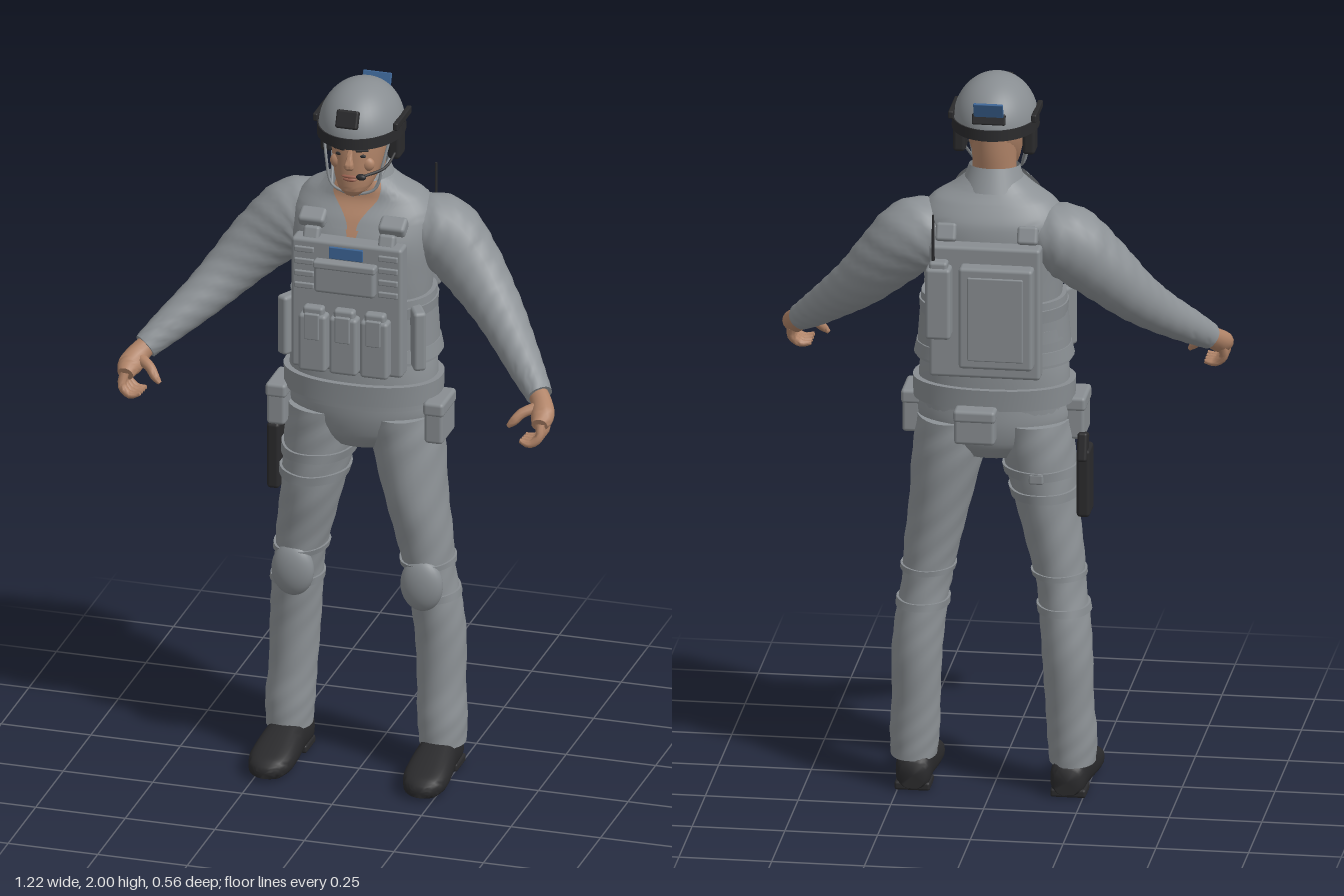
import * as THREE from 'three';
import { toCreasedNormals } from 'three/addons/utils/BufferGeometryUtils.js';
import { RoundedBoxGeometry } from 'three/addons/geometries/RoundedBoxGeometry.js';

const V = (x, y, z) => new THREE.Vector3(x, y, z);
const material = (name, color) => {
  const m = new THREE.MeshStandardMaterial({ color, side: THREE.DoubleSide });
  m.name = name;
  return m;
};
const UP = V(0, 1, 0), DOWN = V(0, -1, 0), FORWARD = V(0, 0, 1);
const HALF = Math.PI / 2;

// Grid of vertices from a rule; closed grids wrap around in the second direction
function grid(rows, cols, closed, rule) {
  const pos = [], index = [], n = closed ? cols : cols + 1;
  for (let i = 0; i <= rows; i++)
    for (let j = 0; j < n; j++) pos.push(...rule(i, j / cols).toArray());
  for (let i = 0; i < rows; i++)
    for (let j = 0; j < cols; j++) {
      const k = (j + 1) % n, a = i * n + j, b = i * n + k, c = a + n, d = b + n;
      index.push(a, c, b, b, c, d);
    }
  const g = new THREE.BufferGeometry();
  g.setAttribute('position', new THREE.Float32BufferAttribute(pos, 3));
  g.setIndex(index);
  return toCreasedNormals(g, 1);
}

// Smooth skin through sections [x, y, z, radiusA, radiusB]; angle 90 degrees is the front
function skin(sections, { axis = null, power = 1, fold = 0 } = {}) {
  const path = new THREE.CatmullRomCurve3(sections.map(s => V(s[0], s[1], s[2])));
  const radii = new THREE.CatmullRomCurve3(sections.map((s, i) => V(s[3], s[4], i * 0.1)));
  const bend = c => Math.sign(c) * Math.abs(c) ** power;
  const at = (t, a, grow = 0, scale = 1) => {
    const c = path.getPoint(t), r = radii.getPoint(t);
    const T = axis || path.getTangent(t);
    const A = T.clone().cross(Math.abs(T.z) > 0.95 ? UP : FORWARD).normalize();
    const B = A.clone().cross(T).normalize();
    const f = scale * (1 + fold * Math.sin(3 * a + t * 45) * Math.sin(t * 31 + 2 * a));
    return c.addScaledVector(A, (r.x + grow) * f * bend(Math.cos(a)))
      .addScaledVector(B, (r.y + grow) * f * bend(Math.sin(a)));
  };
  const rising = sections[0][1] < sections[sections.length - 1][1];
  const tAt = y => {
    let lo = 0, hi = 1;
    for (let i = 0; i < 24; i++) {
      const m = (lo + hi) / 2;
      if ((path.getPoint(m).y < y) === rising) lo = m; else hi = m;
    }
    return lo;
  };
  return {
    solid(cols = 28, step = 6) {
      const n = (sections.length - 1) * step;
      return grid(n + 2, cols, true, (i, f) =>
        at(Math.min(Math.max(i - 1, 0), n) / n, f * Math.PI * 2, 0, i === 0 || i === n + 2 ? 0 : 1));
    },
    band(y0, y1, grow) {
      const rows = [[y0, -0.004], [y0, grow], [y1, grow], [y1, -0.004]];
      return grid(3, 40, true, (i, f) => at(tAt(rows[i][0]), f * Math.PI * 2, rows[i][1]));
    },
    patch(y0, y1, from, to, grow) {
      return grid(14, 10, false, (i, f) => {
        const u = i / 14;
        return at(tAt(y0 + (y1 - y0) * u), THREE.MathUtils.lerp(from(u), to(u), f), grow);
      });
    },
  };
}

export function createModel() {
  const cloth = material('grey cloth', 0x8d9296), gear = material('grey gear', 0x888d91);
  const flesh = material('skin', 0xb18468), lip = material('lips', 0x98604f);
  const black = material('black', 0x2a2a2c), blue = material('blue', 0x3c6596);
  const model = new THREE.Group();
  model.name = 'soldier';
  const add = (name, geo, mat) => {
    const m = new THREE.Mesh(geo, mat);
    m.name = name;
    model.add(m);
    return m;
  };
  const box = (name, mat, [w, h, d], [x, y, z], rx = 0, ry = 0) => {
    const m = add(name, new RoundedBoxGeometry(w, h, d, 2, Math.min(0.01, Math.min(w, h, d) * 0.3)), mat);
    m.position.set(x, y, z);
    m.rotation.set(rx, ry, 0);
    return m;
  };
  const ball = (name, mat, [w, h, d], [x, y, z]) => {
    const m = add(name, new THREE.SphereGeometry(1, 24, 16), mat);
    m.scale.set(w, h, d);
    m.position.set(x, y, z);
    return m;
  };
  const tube = (name, mat, r, points) =>
    add(name, new THREE.TubeGeometry(new THREE.CatmullRomCurve3(points.map(p => V(...p))), 20, r, 6), mat);

  // Shirt, open neck, lapels and collar
  const torso = skin([[0, 1.08, -0.042, 0.2, 0.122], [0, 1.14, -0.042, 0.203, 0.125], [0, 1.21, -0.045, 0.198, 0.125],
    [0, 1.32, -0.05, 0.178, 0.12], [0, 1.45, -0.05, 0.188, 0.133], [0, 1.55, -0.055, 0.2, 0.135],
    [0, 1.62, -0.065, 0.198, 0.118], [0, 1.67, -0.065, 0.162, 0.09], [0, 1.7, -0.055, 0.11, 0.078],
    [0, 1.73, -0.048, 0.07, 0.068]], { axis: UP, power: 0.88 });
  add('shirt', torso.solid(40), cloth);
  const open = u => 0.04 + 0.75 * u * u;
  add('openNeck', torso.patch(1.57, 1.725, u => HALF - open(u), u => HALF + open(u), 0.004), flesh);
  for (const s of [-1, 1])
    add('lapel', torso.patch(1.6, 1.725, u => HALF + s * open(u), u => HALF + s * (open(u) + 0.16 + 0.4 * u), 0.012), cloth);
  const collar = add('collar', new THREE.CylinderGeometry(0.068, 0.09, 0.065, 28, 1, true, 0.7, Math.PI * 2 - 1.4), cloth);
  collar.position.set(0, 1.722, -0.048);
  collar.rotation.x = 0.1;

  // Neck and head
  add('neck', skin([[0, 1.6, -0.04, 0.062, 0.062], [0, 1.72, -0.042, 0.058, 0.062], [0, 1.8, -0.045, 0.06, 0.07],
    [0, 1.87, -0.045, 0.065, 0.075]], { axis: UP }).solid(), flesh);
  add('head', skin([[0, 1.703, 0.06, 0.02, 0.02], [0, 1.72, 0.045, 0.042, 0.044], [0, 1.75, 0.025, 0.057, 0.066],
    [0, 1.79, 0.002, 0.068, 0.088], [0, 1.84, -0.014, 0.076, 0.101], [0, 1.9, -0.02, 0.078, 0.1]],
    { axis: UP, power: 0.93 }).solid(32), flesh);
  add('nose', skin([[0, 1.838, 0.084, 0.007, 0.006], [0, 1.815, 0.092, 0.009, 0.01], [0, 1.795, 0.097, 0.014, 0.014],
    [0, 1.784, 0.092, 0.01, 0.009]], { axis: DOWN }).solid(12, 4), flesh);
  ball('upperLip', lip, [0.023, 0.005, 0.007], [0, 1.763, 0.088]);
  ball('lowerLip', lip, [0.019, 0.006, 0.008], [0, 1.754, 0.087]);
  for (const s of [-1, 1]) {
    ball('eye', black, [0.012, 0.005, 0.005], [s * 0.031, 1.822, 0.078]);
    box('eyebrow', black, [0.034, 0.006, 0.006], [s * 0.032, 1.838, 0.08], 0, s * 0.35);
    ball('cheek', flesh, [0.02, 0.02, 0.014], [s * 0.042, 1.795, 0.064]);
  }

  // Helmet with rim, rails, front mount and rear marker
  const shell = add('helmet', new THREE.SphereGeometry(1, 40, 20, 0, Math.PI * 2, 0, Math.PI * 0.53), gear);
  shell.scale.set(0.113, 0.125, 0.142);
  shell.position.set(0, 1.875, -0.02);
  const rim = add('helmetRim', new THREE.CylinderGeometry(0.116, 0.117, 0.03, 40), black);
  rim.scale.z = 1.25;
  rim.position.set(0, 1.872, -0.02);
  box('frontMount', black, [0.062, 0.05, 0.02], [0, 1.937, 0.108], -0.4);
  box('rearMount', black, [0.09, 0.03, 0.014], [0, 1.915, -0.151], 0.3);
  box('rearMarker', blue, [0.08, 0.055, 0.008], [0, 1.937, -0.157], -0.35);
  for (const s of [-1, 1]) {
    box('helmetRail', black, [0.014, 0.022, 0.13], [s * 0.112, 1.9, -0.025]);
    box('earCup', black, [0.034, 0.075, 0.06], [s * 0.094, 1.824, -0.03]);
    tube('chinStrap', gear, 0.004, [[s * 0.092, 1.86, 0.02], [s * 0.079, 1.79, 0.045], [s * 0.06, 1.72, 0.055], [0, 1.7, 0.068]]);
    tube('napeStrap', gear, 0.004, [[s * 0.085, 1.8, -0.03], [s * 0.072, 1.76, 0.01], [s * 0.06, 1.72, 0.055]]);
  }
  tube('microphoneBoom', black, 0.004, [[0.1, 1.81, -0.01], [0.086, 1.782, 0.045], [0.04, 1.772, 0.1]]);
  ball('microphone', black, [0.014, 0.009, 0.009], [0.036, 1.771, 0.102]);

  // Sleeves and hands
  for (const s of [-1, 1]) {
    const X = list => list.map(([x, ...rest]) => [s * x, ...rest]);
    add('sleeve', skin(X([[0.12, 1.58, -0.075, 0.075, 0.08], [0.2, 1.56, -0.082, 0.1, 0.098], [0.28, 1.49, -0.07, 0.09, 0.086],
      [0.36, 1.405, -0.03, 0.073, 0.072], [0.43, 1.335, 0.03, 0.059, 0.06], [0.5, 1.27, 0.1, 0.047, 0.047],
      [0.55, 1.225, 0.155, 0.036, 0.036]]), { fold: 0.035 }).solid(), cloth);
    add('hand', skin(X([[0.535, 1.238, 0.14, 0.027, 0.024], [0.562, 1.212, 0.175, 0.03, 0.026], [0.576, 1.19, 0.21, 0.033, 0.028],
      [0.578, 1.178, 0.245, 0.022, 0.02]])).solid(16, 4), flesh);
    add('thumb', skin(X([[0.555, 1.205, 0.19, 0.016, 0.016], [0.52, 1.193, 0.213, 0.014, 0.014], [0.5, 1.172, 0.228, 0.012, 0.012],
      [0.486, 1.158, 0.232, 0.006, 0.006]])).solid(10, 3), flesh);
    for (let k = 0; k < 4; k++) {
      const z = k * 0.019;
      add('finger', skin(X([[0.58, 1.182, 0.192 + z, 0.013, 0.013], [0.582, 1.15, 0.205 + z, 0.012, 0.012],
        [0.558, 1.13, 0.211 + z, 0.011, 0.011], [0.53, 1.132 + z * 0.1, 0.212 + z, 0.006, 0.006]])).solid(10, 3), flesh);
    }
  }

  // Trousers, knee pads and boots
  add('trouserSeat', skin([[0, 1.13, -0.044, 0.2, 0.122], [0, 1.05, -0.048, 0.205, 0.121], [0, 0.99, -0.05, 0.17, 0.108],
    [0, 0.95, -0.05, 0.1, 0.08]], { axis: DOWN }).solid(36), cloth);
  for (const s of [-1, 1]) {
    const leg = skin([[0.108, 1.05, -0.05, 0.098, 0.119], [0.122, 0.95, -0.05, 0.097, 0.117], [0.145, 0.8, -0.046, 0.083, 0.109],
      [0.167, 0.68, -0.052, 0.075, 0.093], [0.182, 0.58, -0.056, 0.066, 0.086], [0.195, 0.48, -0.068, 0.068, 0.083],
      [0.203, 0.38, -0.077, 0.068, 0.079], [0.207, 0.25, -0.073, 0.065, 0.072], [0.212, 0.16, -0.066, 0.067, 0.075],
      [0.214, 0.085, -0.063, 0.062, 0.075]].map(([x, ...r]) => [s * x, ...r]), { axis: DOWN, fold: 0.025 });
    add('trouserLeg', leg.solid(), cloth);
    add('kneeStrap', leg.band(0.532, 0.512, 0.006), gear);
    add('kneeStrap', leg.band(0.625, 0.61, 0.006), gear);
    ball('kneePad', gear, [0.059, 0.075, 0.034], [s * 0.18, 0.567, 0.02]);
    add('boot', skin([[-0.14, 0.045, 0.034, 0.036], [-0.12, 0.052, 0.047, 0.05], [-0.04, 0.056, 0.05, 0.056],
      [0.03, 0.048, 0.058, 0.048], [0.1, 0.038, 0.061, 0.036], [0.145, 0.03, 0.048, 0.027], [0.165, 0.024, 0.022, 0.014]]
      .map(([z, y, a, b]) => [s * (0.212 + 0.03 * z), y, z, a, b]), { axis: FORWARD, power: 0.75 }).solid(24, 4), black);
    box('bootHeel', black, [0.096, 0.024, 0.085], [s * 0.21, 0.012, -0.09]);
    // Thigh holster on one side only
    if (s < 0) {
      add('thighStrap', leg.band(0.925, 0.9, 0.007), gear);
      add('thighStrap', leg.band(0.86, 0.835, 0.007), gear);
      box('strapClip', gear, [0.04, 0.03, 0.02], [-0.13, 0.91, -0.165]);
    }
  }
  box('holster', black, [0.036, 0.19, 0.085], [-0.245, 0.875, -0.05]);
  box('holsterGrip', black, [0.028, 0.08, 0.045], [-0.243, 0.975, -0.075], 0.25);

  // Belt and its pouches
  add('belt', torso.band(1.1, 1.158, 0.016), gear);
  for (const s of [-1, 1]) {
    box('hipPouch', gear, [0.052, 0.115, 0.12], [s * 0.22, 1.05, -0.012]);
    box('hipPouchFlap', gear, [0.058, 0.04, 0.126], [s * 0.22, 1.092, -0.012]);
  }
  box('backPouch', gear, [0.11, 0.095, 0.05], [0.03, 1.063, -0.198]);
  box('backPouchFlap', gear, [0.114, 0.035, 0.056], [0.03, 1.095, -0.198]);

  // Vest: side bands, plates and shoulder buckles
  add('sideBand', torso.band(1.215, 1.4, 0.012), gear);
  for (const y of [1.225, 1.285, 1.345]) add('sideRib', torso.band(y, y + 0.035, 0.02), gear);
  box('frontPlate', gear, [0.31, 0.375, 0.055], [0, 1.392, 0.092]);
  box('backPlate', gear, [0.3, 0.37, 0.055], [0, 1.395, -0.207]);
  for (const s of [-1, 1]) {
    box('sidePouch', gear, [0.035, 0.17, 0.07], [s * 0.178, 1.3, 0.05], 0, s * 0.5);
    box('shoulderPad', gear, [0.074, 0.035, 0.05], [s * 0.112, 1.618, 0.055], 0.5);
    box('frontBuckle', gear, [0.046, 0.04, 0.03], [s * 0.105, 1.585, 0.088], -0.4);
    box('backBuckle', gear, [0.056, 0.05, 0.03], [s * 0.11, 1.603, -0.185], 0.4);
    for (const y of [1.55, 1.515, 1.48, 1.445])
      box('webbing', gear, [0.055, 0.016, 0.012], [s * 0.117, y, 0.12]);
  }
  box('chestPouch', gear, [0.17, 0.09, 0.035], [0, 1.482, 0.126]);
  box('chestPouchFlap', gear, [0.174, 0.022, 0.04], [0, 1.518, 0.126]);
  box('chestMarker', blue, [0.095, 0.034, 0.008], [0, 1.55, 0.122]);
  for (const x of [-0.086, 0, 0.086]) {
    box('magazinePouch', gear, [0.078, 0.165, 0.045], [x, 1.292, 0.132]);
    box('magazine', gear, [0.058, 0.05, 0.03], [x, 1.37, 0.132]);
    box('magazineFlap', gear, [0.042, 0.075, 0.012], [x, 1.342, 0.154]);
  }

  // Back pack, radio and antenna
  box('backPack', gear, [0.2, 0.285, 0.05], [-0.035, 1.392, -0.252]);
  box('backPackPanel', gear, [0.15, 0.235, 0.012], [-0.035, 1.392, -0.276]);
  box('radio', gear, [0.068, 0.2, 0.055], [0.12, 1.43, -0.256]);
  box('radioCap', gear, [0.05, 0.03, 0.04], [0.12, 1.532, -0.256]);
  const antenna = add('antenna', new THREE.CylinderGeometry(0.003, 0.005, 0.15, 8), black);
  antenna.position.set(0.135, 1.6, -0.258);
  return model;
}
